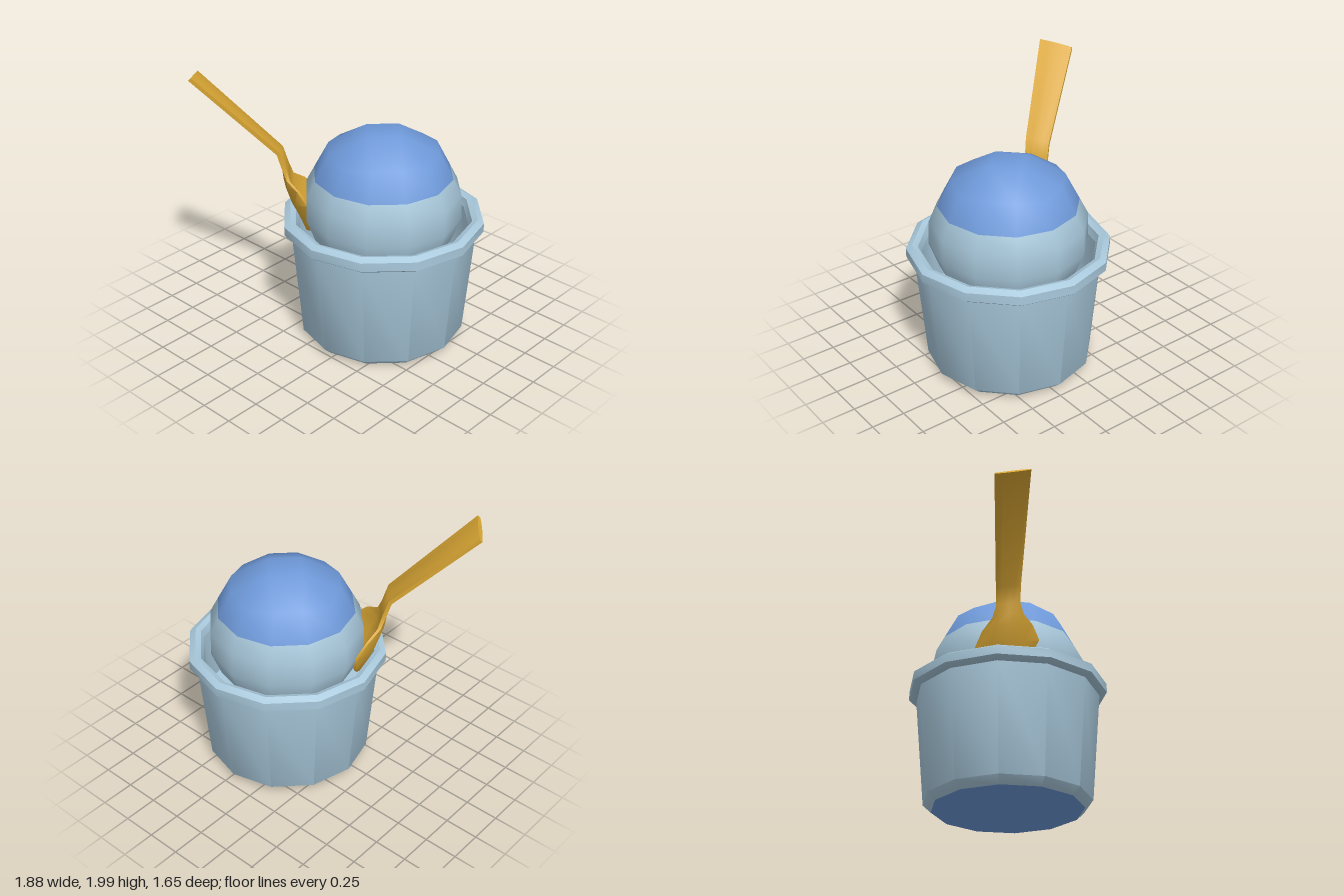
import * as THREE from 'three';
import { toCreasedNormals } from 'three/addons/utils/BufferGeometryUtils.js';

const SIDES = 12;
const lightBlue = new THREE.MeshStandardMaterial({ color: 0xa9c9dc });
lightBlue.name = 'paleBlue';
const blue = new THREE.MeshStandardMaterial({ color: 0x6f9ada });
blue.name = 'syrupBlue';
const gold = new THREE.MeshStandardMaterial({ color: 0xd9a634 });
gold.name = 'spoonGold';

function part(name, geometry, material) {
  const mesh = new THREE.Mesh(geometry, material);
  mesh.name = name;
  return mesh;
}

function build(positions, index) {
  const g = new THREE.BufferGeometry();
  g.setAttribute('position', new THREE.Float32BufferAttribute(positions, 3));
  g.setIndex(index);
  return g;
}

function lathe(points) {
  const g = new THREE.LatheGeometry(points.map(([r, y]) => new THREE.Vector2(r, y)), SIDES);
  return toCreasedNormals(g, 0.85);
}

// Ring of the scoop; corner(k) gives [radius, height]
function ring(out, count, at) {
  for (let k = 0; k < count; k++) {
    const a = (k / count) * Math.PI * 2;
    const [r, y] = at(k);
    out.push(Math.sin(a) * r, y, Math.cos(a) * r);
  }
}

function band(index, upper, lower) {
  for (let k = 0; k < SIDES; k++) {
    const n = (k + 1) % SIDES;
    index.push(upper + k, lower + k, lower + n, upper + k, lower + n, upper + n);
  }
}

// Smooth normals pointing away from the scoop's centre
function roundNormals(g) {
  const p = g.attributes.position;
  const normals = [];
  const v = new THREE.Vector3();
  for (let i = 0; i < p.count; i++) {
    v.fromBufferAttribute(p, i);
    v.y -= 1.05;
    v.normalize();
    normals.push(v.x, v.y, v.z);
  }
  g.setAttribute('normal', new THREE.Float32BufferAttribute(normals, 3));
  return g;
}

// Syrup: square crown, then a twelve-sided skirt
function syrupGeometry() {
  const pos = [];
  const index = [];
  ring(pos, 4, () => [0.16, 1.6]);
  ring(pos, SIDES, k => (k % 3 === 0 ? [0.42, 1.44] : [0.4, 1.47]));
  ring(pos, SIDES, () => [0.505, 1.27]);
  index.push(0, 1, 2, 0, 2, 3);
  for (let c = 0; c < 4; c++) {
    const n = (c + 1) % 4;
    const r = k => 4 + ((c * 3 + k + SIDES) % SIDES);
    index.push(c, r(-1), r(0), c, r(0), r(1));
    index.push(c, r(1), r(2), c, r(2), n);
  }
  band(index, 4, 4 + SIDES);
  return roundNormals(build(pos, index));
}

function scoopGeometry() {
  const pos = [];
  const index = [];
  const rows = [[0.505, 1.27], [0.567, 1.15], [0.572, 0.97], [0.5, 0.78]];
  rows.forEach(row => ring(pos, SIDES, () => row));
  for (let i = 0; i < rows.length - 1; i++) band(index, i * SIDES, (i + 1) * SIDES);
  return roundNormals(build(pos, index));
}

// Spoon lofted from sections: distance from cup axis, height, half width, thickness, curl
function spoonGeometry() {
  const sections = [
    [1.33, 1.965, 0.125, 0.045, 0],
    [0.74, 1.41, 0.088, 0.05, 0],
    [0.70, 1.28, 0.085, 0.05, 0],
    [0.70, 1.20, 0.11, 0.04, 0.03],
    [0.69, 1.12, 0.18, 0.03, 0.1],
    [0.65, 1.0, 0.23, 0.03, 0.14],
    [0.59, 0.88, 0.2, 0.03, 0.1],
    [0.55, 0.79, 0.1, 0.03, 0.04],
  ];
  const d = new THREE.Vector3(-0.78, 0, 0.626);
  const w = new THREE.Vector3(0.626, 0.17, 0.78);
  const us = [-1, -0.5, 0, 0.5, 1];
  const pos = [];
  const index = [];
  const n = us.length * 2;
  const last = sections.length - 1;
  sections.forEach(([r, y, half, thick, curl], s) => {
    const a = sections[Math.max(s - 1, 0)];
    const b = sections[Math.min(s + 1, last)];
    const len = Math.hypot(b[0] - a[0], b[1] - a[1]);
    const nr = -(b[1] - a[1]) / len;
    const ny = (b[0] - a[0]) / len;
    const add = (u, side) => {
      const off = side * thick * 0.5 * (1 - 0.4 * u * u) - curl * u * u;
      const v = new THREE.Vector3()
        .addScaledVector(d, r + nr * off)
        .addScaledVector(w, half * u - 0.03);
      pos.push(v.x, v.y + y + ny * off, v.z);
    };
    us.forEach(u => add(u, 1));
    us.forEach(u => add(-u, -1));
    if (s === last) return;
    for (let i = 0; i < n; i++) {
      const p = s * n + i;
      const q = s * n + ((i + 1) % n);
      index.push(p, p + n, q, q, p + n, q + n);
    }
  });
  const e = last * n;
  for (let i = 1; i < n - 1; i++) {
    index.push(0, i, i + 1, e, e + i + 1, e + i);
  }
  return toCreasedNormals(build(pos, index), 0.9);
}

export function createModel() {
  const model = new THREE.Group();
  model.name = 'iceCreamCup';

  // Everything is arranged around the cup's axis
  const cup = new THREE.Group();
  cup.name = 'cup';
  cup.position.set(0.21, 0, -0.09);
  model.add(cup);

  cup.add(part('cupWall', lathe([[0.55, 0], [0.61, 0.055], [0.68, 0.86]]), lightBlue));
  cup.add(part('cupRim', lathe([
    [0.67, 0.855], [0.7, 0.855], [0.735, 0.88], [0.735, 0.945],
    [0.69, 0.97], [0.65, 0.955], [0.63, 0.9],
  ]), lightBlue));
  cup.add(part('cupInside', lathe([[0.63, 0.9], [0.6, 0.5], [0, 0.5]]), lightBlue));

  const base = part('cupBase', new THREE.CircleGeometry(0.55, SIDES), blue);
  base.rotation.x = Math.PI / 2;
  cup.add(base);

  cup.add(part('scoop', scoopGeometry(), lightBlue));
  cup.add(part('syrup', syrupGeometry(), blue));
  cup.add(part('spoon', spoonGeometry(), gold));
  return model;
}
